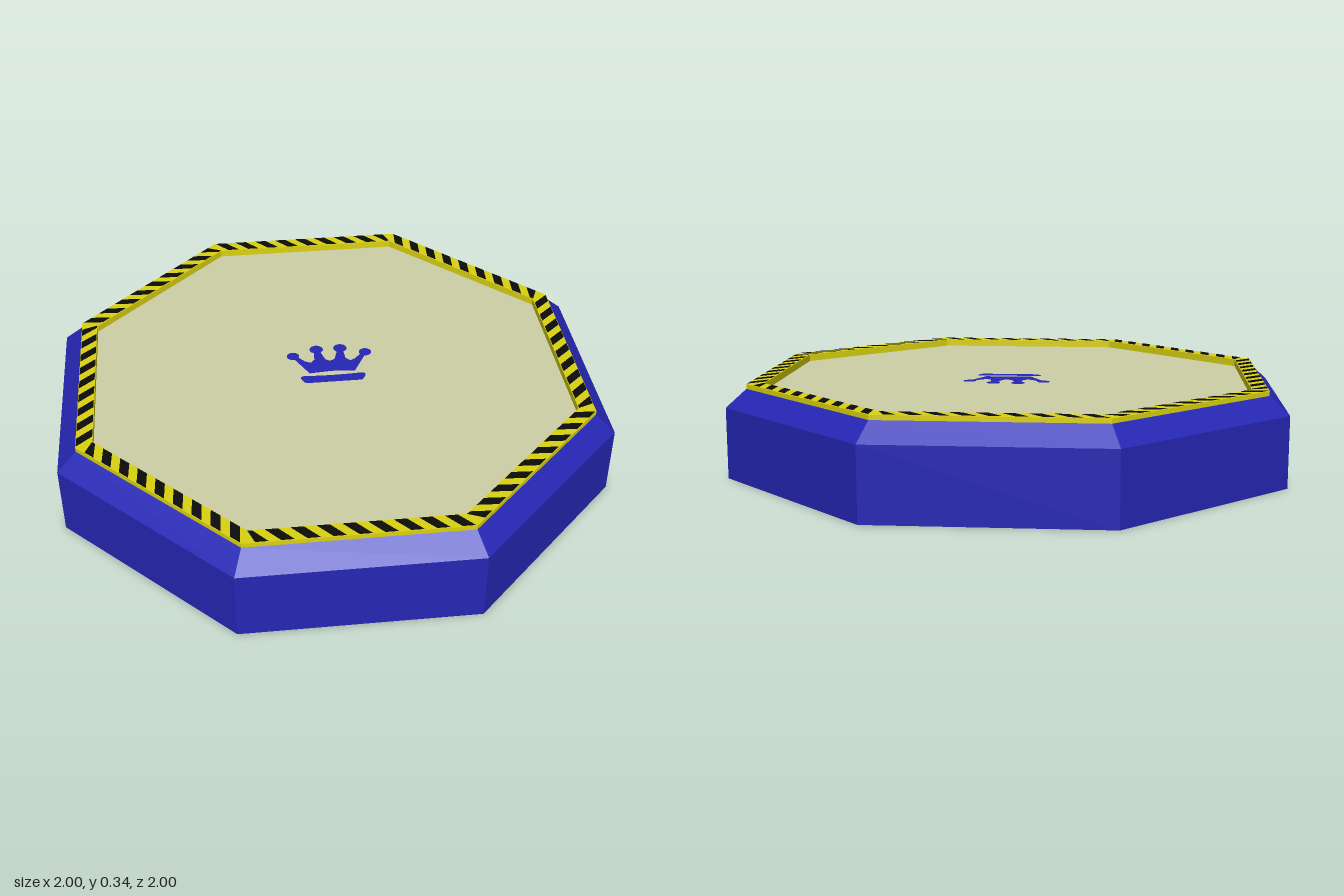
import * as THREE from 'three';

const SIDES = 8;
const COS = Math.cos(Math.PI / SIDES);
const TAN = Math.tan(Math.PI / SIDES);

function material(name, color, side = THREE.FrontSide) {
  const m = new THREE.MeshStandardMaterial({ color, side });
  m.name = name;
  return m;
}

// Faceted octagonal ring from a profile of [apothem, height] pairs
function octagon(profile) {
  const points = profile.map(([a, y]) => new THREE.Vector2(a / COS, y));
  const g = new THREE.LatheGeometry(points, SIDES, Math.PI / SIDES).toNonIndexed();
  g.computeVertexNormals();
  return g;
}

// Flat shapes laid face up; shape y points to -z
function flat(shapes, y) {
  return new THREE.ShapeGeometry(shapes, 10).rotateX(-Math.PI / 2).translate(0, y, 0);
}

function polygon(points) {
  return new THREE.Shape(points.map(([x, y]) => new THREE.Vector2(x, y)));
}

function disc(x, y, r) {
  const s = new THREE.Shape();
  s.absarc(x, y, r, 0, Math.PI * 2);
  return s;
}

export function createModel() {
  const group = new THREE.Group();
  const blue = material('blue', 0x2626b4);
  const yellow = material('yellow', 0xdad212);
  const black = material('black', 0x0b0b0b);
  const cream = material('pale olive', 0xcccfa4);

  const add = (name, geometry, mat, parent = group) => {
    const mesh = new THREE.Mesh(geometry, mat);
    mesh.name = name;
    parent.add(mesh);
    return mesh;
  };

  // Chamfered base, raised rim and sunken panel
  add('base', octagon([[0, 0], [1, 0], [1, 0.26], [0.93, 0.325]]), blue);
  add('rim', octagon([[0.93, 0.325], [0.93, 0.342], [0.87, 0.342], [0.87, 0.314]]), yellow);
  add('panel', new THREE.CircleGeometry(0.875 / COS, SIDES, Math.PI / SIDES)
    .rotateX(-Math.PI / 2).translate(0, 0.315, 0), cream);

  // Slanted hazard stripes, repeated on each side of the rim
  const outer = 0.928, inner = 0.872, slant = 0.05, pitch = 0.0845, width = 0.044;
  const limit = inner * TAN;
  const stripes = [];
  for (let i = 0; i < 9; i++) {
    const a = outer * TAN - 0.004 - i * pitch;
    const b = a - width;
    stripes.push(polygon([
      [b, -outer], [a, -outer],
      [Math.max(a - slant, -limit), -inner], [Math.max(b - slant, -limit), -inner],
    ]));
  }
  const stripeGeometry = flat(stripes, 0.3435);
  for (let k = 0; k < SIDES; k++) {
    add('rimStripes', stripeGeometry, black).rotation.y = (k * Math.PI * 2) / SIDES;
  }

  // Crown emblem: band, four-pointed body and ball tips
  const crown = new THREE.Group();
  crown.name = 'crownEmblem';
  crown.position.x = 0.015;
  group.add(crown);

  const band = new THREE.Shape();
  band.moveTo(-0.105, -0.07);
  band.lineTo(0.105, -0.07);
  band.quadraticCurveTo(0.122, -0.05, 0.122, -0.035);
  band.quadraticCurveTo(0.12, -0.025, 0.105, -0.025);
  band.quadraticCurveTo(0, -0.033, -0.105, -0.025);
  band.quadraticCurveTo(-0.12, -0.025, -0.122, -0.035);
  band.quadraticCurveTo(-0.122, -0.05, -0.105, -0.07);
  add('crownBand', flat(band, 0.318), blue, crown);

  const half = [
    [0, 0.062], [0.018, 0.074], [0.034, 0.13], [0.056, 0.13], [0.06, 0.075],
    [0.076, 0.057], [0.096, 0.068], [0.13, 0.108], [0.142, 0.098], [0.112, 0.04], [0.086, -0.01],
  ];
  const mirrored = half.slice(1).reverse().map(([x, y]) => [-x, y]);
  add('crownBody', flat(polygon([...mirrored, ...half, [0, -0.003]]), 0.318), blue, crown);

  const tips = [];
  for (const s of [-1, 1]) tips.push(disc(s * 0.046, 0.14, 0.026), disc(s * 0.139, 0.105, 0.024));
  add('crownTips', flat(tips, 0.3185), blue, crown);

  return group;
}
